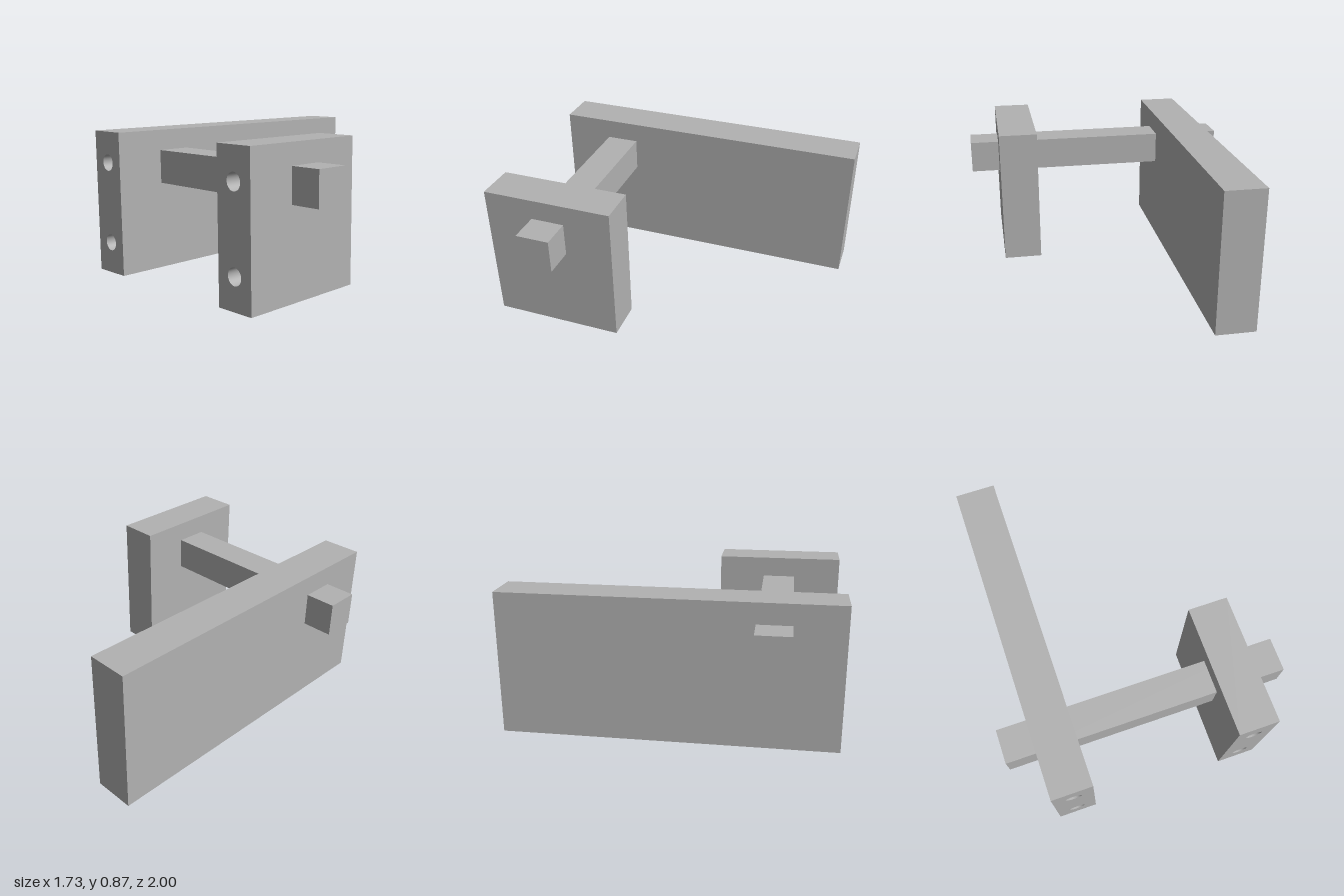
import * as THREE from 'three';
import { mergeGeometries } from 'three/addons/utils/BufferGeometryUtils.js';

const WIDTH = 0.245, HEIGHT = 0.87, FRONT = 1;
const HOLE_RADIUS = 0.05, HOLE_DEPTH = 0.25;
const HOLE_HEIGHTS = [0.19, 0.683];

// Upright board with two blind holes drilled into its front end
function boardGeometry(length) {
  // Box without its front face
  const box = new THREE.BoxGeometry(WIDTH, HEIGHT, length);
  const index = Array.from(box.index.array);
  index.splice(24, 6);
  box.setIndex(index);
  box.clearGroups();
  box.translate(0, HEIGHT / 2, FRONT - length / 2);

  // Front face with round openings
  const face = new THREE.Shape();
  face.moveTo(-WIDTH / 2, 0);
  face.lineTo(WIDTH / 2, 0);
  face.lineTo(WIDTH / 2, HEIGHT);
  face.lineTo(-WIDTH / 2, HEIGHT);
  face.closePath();
  const parts = [box];
  for (const y of HOLE_HEIGHTS) {
    const opening = new THREE.Path();
    opening.absarc(0, y, HOLE_RADIUS, 0, Math.PI * 2, true);
    face.holes.push(opening);

    // Inward-facing hole wall and its flat bottom
    const wall = new THREE.LatheGeometry(
      [new THREE.Vector2(HOLE_RADIUS, 0), new THREE.Vector2(HOLE_RADIUS, -HOLE_DEPTH)], 32);
    wall.rotateX(Math.PI / 2);
    wall.translate(0, y, FRONT);
    const bottom = new THREE.CircleGeometry(HOLE_RADIUS, 32);
    bottom.translate(0, y, FRONT - HOLE_DEPTH);
    parts.push(wall, bottom);
  }
  const front = new THREE.ShapeGeometry(face, 16);
  front.translate(0, 0, FRONT);
  parts.push(front);
  return mergeGeometries(parts);
}

export function createModel() {
  const model = new THREE.Group();
  model.name = 'boardsWithCrossbar';
  const grey = new THREE.MeshStandardMaterial({ color: 0xb2b2b2 });
  grey.name = 'grey';

  const add = (name, geometry, x, y, z) => {
    const mesh = new THREE.Mesh(geometry, grey);
    mesh.name = name;
    mesh.position.set(x, y, z);
    model.add(mesh);
  };

  add('longBoard', boardGeometry(2), -0.557, 0, 0);
  add('shortBoard', boardGeometry(0.8), 0.557, 0, 0);
  // Square bar passing through both boards
  add('crossbar', new THREE.BoxGeometry(1.73, 0.205, 0.205), 0, 0.642, 0.598);
  return model;
}
